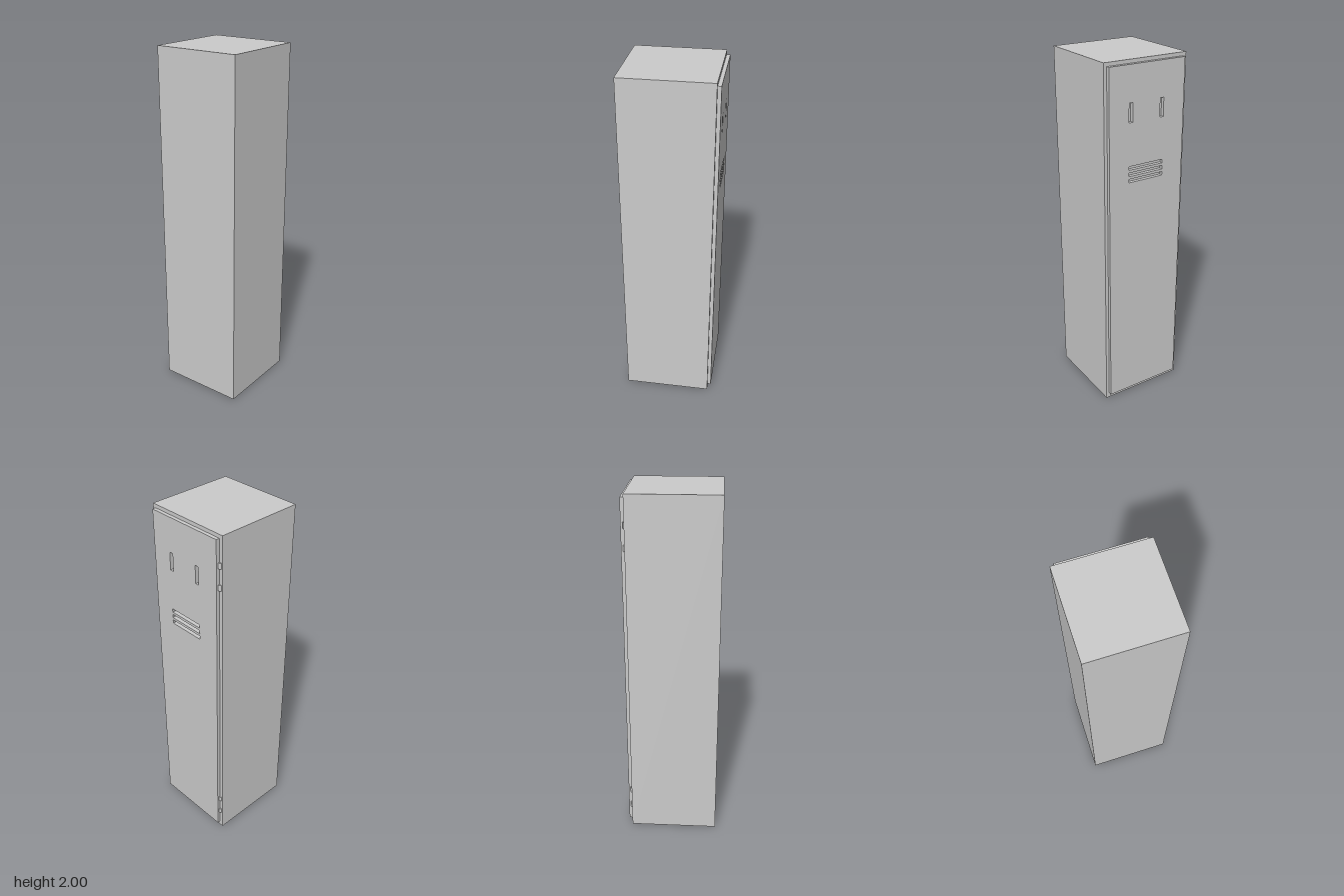
import * as THREE from 'three';

const material = new THREE.MeshStandardMaterial({ color: 0xcccccc });

function addMesh(parent, name, geometry, x, y, z) {
  const mesh = new THREE.Mesh(geometry, material);
  mesh.name = name;
  mesh.position.set(x, y, z);
  parent.add(mesh);
  return mesh;
}

// Rectangle outline, usable as a shape or a hole
function rect(target, x0, y0, x1, y1) {
  target.moveTo(x0, y0);
  target.lineTo(x1, y0);
  target.lineTo(x1, y1);
  target.lineTo(x0, y1);
  target.closePath();
  return target;
}

export function createModel() {
  const group = new THREE.Group();
  group.name = 'locker';
  const backZ = -0.241;

  // Cabinet body
  addMesh(group, 'cabinet', new THREE.BoxGeometry(0.5, 2, 0.5), 0, 1, 0.009);

  // Door panel, pierced by two upright slots and three vents
  const panel = rect(new THREE.Shape(), -0.229, 0.03, 0.232, 1.98);
  for (const x of [-0.089, 0.102]) {
    panel.holes.push(rect(new THREE.Path(), x - 0.011, 1.685, x + 0.011, 1.787));
  }
  for (let i = 0; i < 3; i++) {
    const y = 1.44 - i * 0.035;
    panel.holes.push(rect(new THREE.Path(), -0.1, y - 0.01, 0.113, y + 0.01));
  }
  const doorGeometry = new THREE.ExtrudeGeometry(panel, { depth: 0.02, bevelEnabled: false });
  addMesh(group, 'door', doorGeometry, 0, 0, backZ - 0.02);

  // Hinge knuckles in two pairs along the door edge
  for (const y of [0.135, 0.24, 1.72, 1.84]) {
    addMesh(group, 'hinge', new THREE.CylinderGeometry(0.012, 0.012, 0.032, 20), -0.231, y, backZ + 0.003);
  }
  return group;
}
